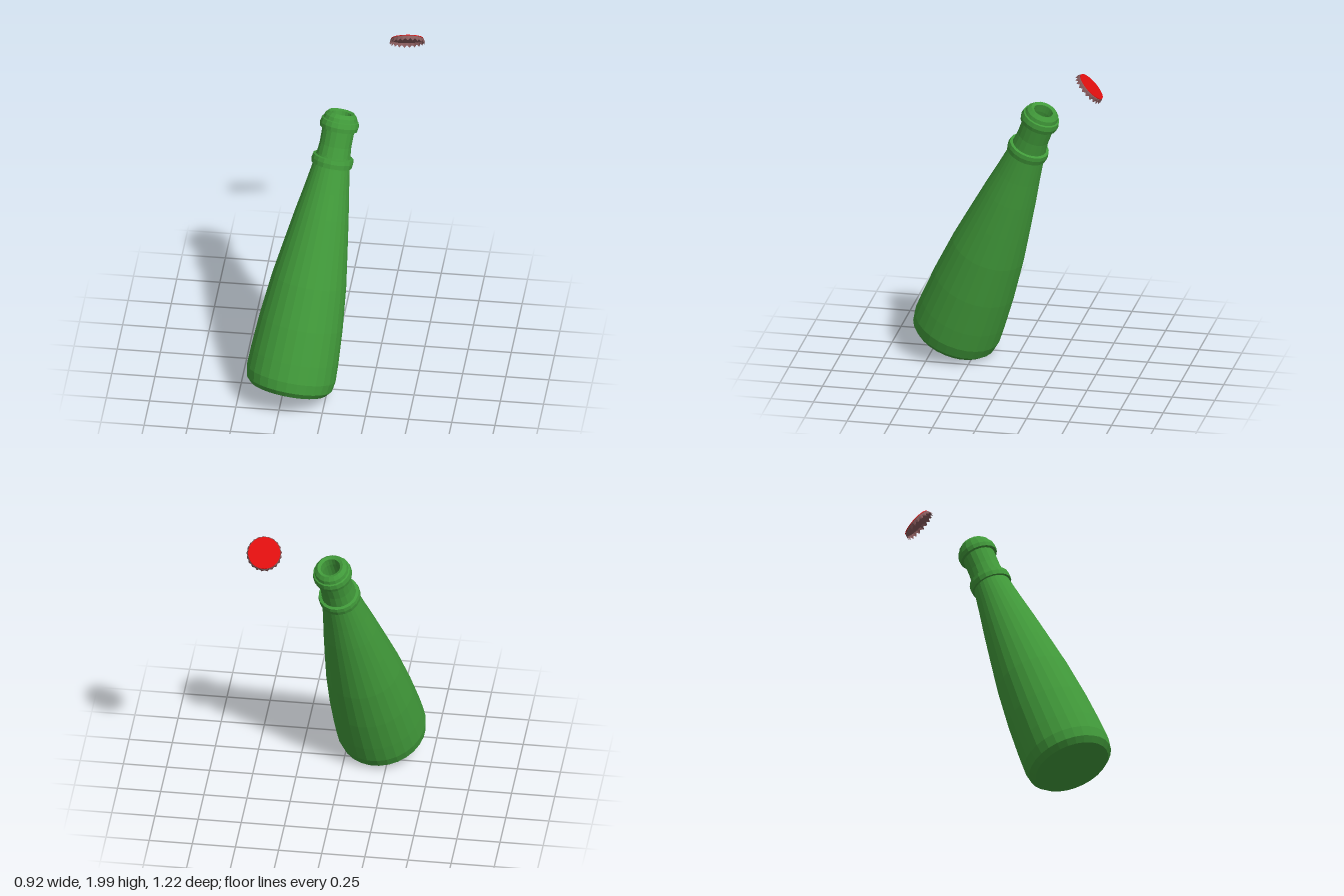
import * as THREE from 'three';

const glass = new THREE.MeshStandardMaterial({ color: 0x419a3a });
glass.name = 'green glass';
const metal = new THREE.MeshStandardMaterial({ color: 0x85595a, side: THREE.DoubleSide });
metal.name = 'brown metal';
const paint = new THREE.MeshStandardMaterial({ color: 0xe00f0f });
paint.name = 'red paint';

// faceted version of a geometry
function faceted(geometry) {
  const g = geometry.index ? geometry.toNonIndexed() : geometry;
  g.computeVertexNormals();
  return g;
}

function addMesh(parent, name, geometry, material) {
  const mesh = new THREE.Mesh(geometry, material);
  mesh.name = name;
  parent.add(mesh);
  return mesh;
}

// turned part from [radius, height] pairs, bottom to top on the outside
function turned(parent, name, profile, sides) {
  const points = profile.map(([r, y]) => new THREE.Vector2(r, y));
  return addMesh(parent, name, faceted(new THREE.LatheGeometry(points, sides)), glass);
}

// crimped skirt built from rings; the lowest ring alternates to form teeth
function crimpedSkirt(teeth) {
  const n = teeth * 2;
  const positions = [];
  const index = [];
  for (let ring = 0; ring < 4; ring++) {
    for (let i = 0; i < n; i++) {
      const a = (i / n) * Math.PI * 2;
      const out = i % 2;
      const r = [0.088, 0.095, 0.097 + 0.002 * out, 0.097 + 0.006 * out][ring];
      const y = [0, -0.005, -0.014, -0.019 - 0.014 * out][ring];
      positions.push(Math.sin(a) * r, y, Math.cos(a) * r);
      if (ring < 3) {
        const p = ring * n + i;
        const q = ring * n + ((i + 1) % n);
        index.push(p, p + n, q, q, p + n, q + n);
      }
    }
  }
  const g = new THREE.BufferGeometry();
  g.setAttribute('position', new THREE.Float32BufferAttribute(positions, 3));
  g.setIndex(index);
  return faceted(g);
}

export function createModel() {
  const model = new THREE.Group();
  model.name = 'bottleAndCap';
  const up = new THREE.Vector3(0, 1, 0);

  // leaning bottle
  const bottle = new THREE.Group();
  bottle.name = 'bottle';
  turned(bottle, 'body', [
    [0, 0], [0.222, 0], [0.25, 0.03], [0.26, 0.09], [0.256, 0.2], [0.243, 0.4],
    [0.217, 0.65], [0.187, 0.85], [0.156, 1.05], [0.13, 1.2], [0.108, 1.34], [0.1, 1.41],
  ], 28);
  turned(bottle, 'lowerCollar', [
    [0.1, 1.345], [0.119, 1.348], [0.122, 1.375], [0.118, 1.398], [0.095, 1.402],
  ], 18);
  // neck, rim and the inner wall running back down
  turned(bottle, 'neckAndMouth', [
    [0.1, 1.395], [0.093, 1.47], [0.094, 1.56], [0.1, 1.62], [0.094, 1.643], [0.075, 1.663],
    [0.057, 1.655], [0.053, 1.61], [0.06, 1.4], [0.11, 1.15], [0.19, 0.7], [0.235, 0.2],
    [0.2, 0.04], [0, 0.04],
  ], 18);
  turned(bottle, 'upperCollar', [
    [0.09, 1.563], [0.11, 1.566], [0.114, 1.59], [0.108, 1.618], [0.095, 1.624],
  ], 18);
  bottle.position.set(-0.21, 0.086, 0.385);
  bottle.quaternion.setFromUnitVectors(up, new THREE.Vector3(0.235, 1.54, -0.585).normalize());
  model.add(bottle);

  // crown cap flying off behind the mouth
  const cap = new THREE.Group();
  cap.name = 'cap';
  addMesh(cap, 'capSkirt', crimpedSkirt(21), metal);
  const underside = addMesh(cap, 'capUnderside', new THREE.CircleGeometry(0.094, 42), metal);
  underside.rotation.x = Math.PI / 2;
  underside.position.y = -0.008;
  addMesh(cap, 'capTop', faceted(new THREE.CylinderGeometry(0.092, 0.093, 0.004, 42)), paint);
  cap.position.set(0.36, 1.928, -0.55);
  cap.quaternion.setFromUnitVectors(up, new THREE.Vector3(-0.1, 0.69, -0.72).normalize());
  model.add(cap);

  return model;
}
